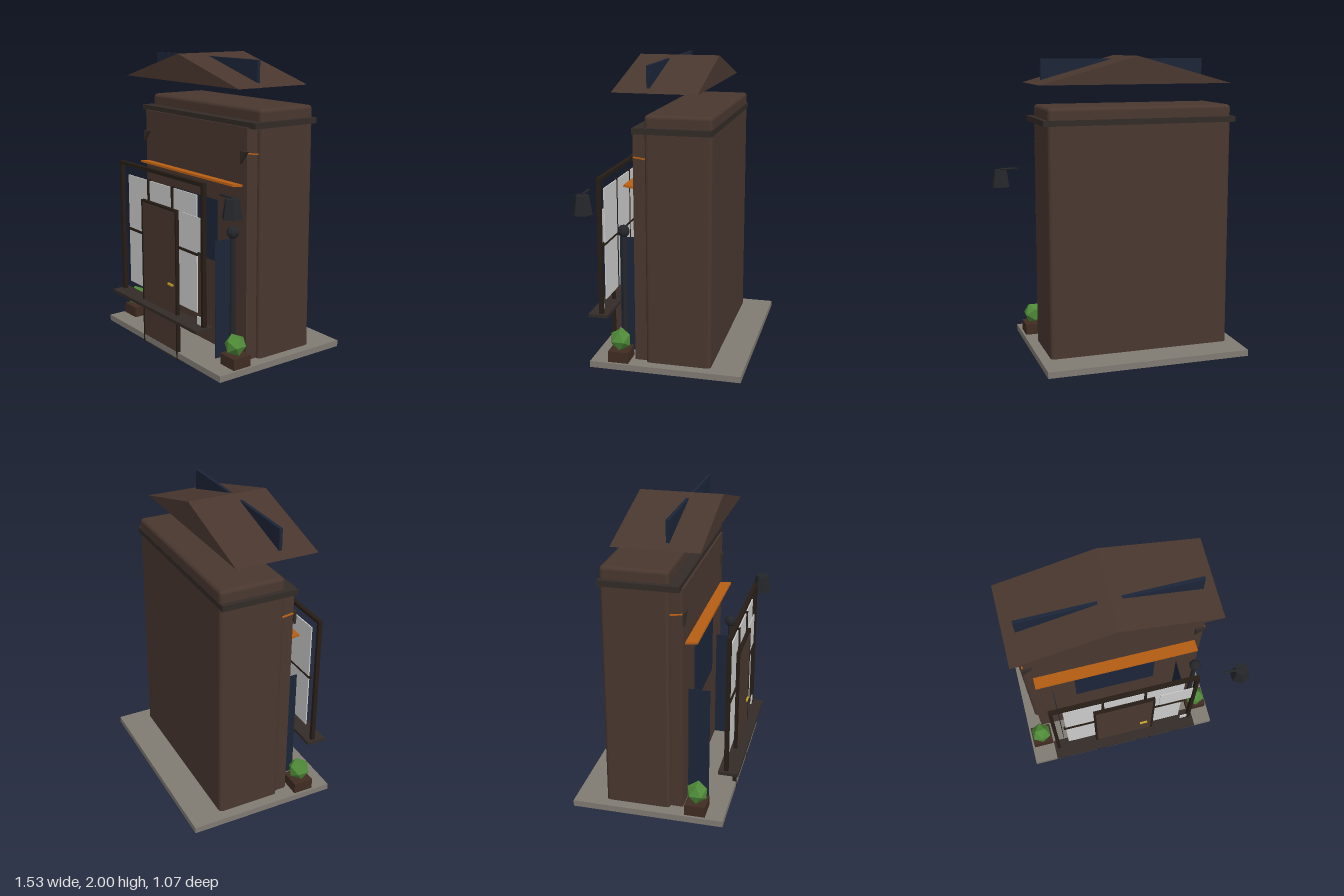
import * as THREE from 'three';
import { RoundedBoxGeometry } from 'three/addons/geometries/RoundedBoxGeometry.js';

const CX = -0.08; // the building's own centre line

function mat(color, flatShading = false) {
  return new THREE.MeshStandardMaterial({ color, flatShading, side: THREE.DoubleSide });
}

const M = {
  brown: mat(0x49372f), trim: mat(0x332b27), frame: mat(0x271d16), stone: mat(0x807a72),
  navy: mat(0x1c2538), glass: mat(0xcccccc), white: mat(0xf4f4f4), orange: mat(0xb85f14),
  gold: mat(0xc9a227), iron: mat(0x24262a, true), leaf: mat(0x4f8a38, true), planter: mat(0x402c22),
};

export function createModel() {
  const group = new THREE.Group();

  function add(name, geometry, material, x = 0, y = 0, z = 0) {
    const mesh = new THREE.Mesh(geometry, material);
    mesh.name = name;
    mesh.position.set(x, y, z);
    group.add(mesh);
    return mesh;
  }

  // box given by its limits on each axis
  function box(name, material, [x0, x1], [y0, y1], [z0, z1]) {
    return add(name, new THREE.BoxGeometry(x1 - x0, y1 - y0, z1 - z0), material,
      (x0 + x1) / 2, (y0 + y1) / 2, (z0 + z1) / 2);
  }

  // span of half width w about the centre line
  const span = (w) => [CX - w, CX + w];

  // pavement, main block, facade and cornice
  box('pavement', M.stone, span(0.686), [0.016, 0.058], [-0.53, 0.472]);
  add('body', new RoundedBoxGeometry(1.233, 1.68, 0.428, 3, 0.025), M.brown, CX, 0.845, -0.106);
  box('facade', M.brown, span(0.585), [0.03, 1.575], [0.09, 0.19]);
  box('cornice', M.trim, span(0.648), [1.57, 1.607], [-0.322, 0.178]);

  // gable roof
  const gable = new THREE.Shape();
  gable.moveTo(-0.648, 0);
  gable.lineTo(0.648, 0);
  gable.lineTo(0, 0.18);
  gable.closePath();
  add('roof', new THREE.ExtrudeGeometry(gable, { depth: 0.539, bevelEnabled: false }),
    M.brown, CX, 1.82, -0.235);
  box('roofSign', M.navy, span(0.57), [1.805, 1.98], [0.081, 0.102]);

  // window glass, glazing bars and surrounding frame
  box('windowGlass', M.glass, span(0.41), [0.39, 1.16], [0.442, 0.45]);
  box('glazingRail', M.frame, span(0.425), [0.772, 0.787], [0.44, 0.46]);
  for (const s of [-1, 1]) {
    const x = CX + s * 0.144;
    box('glazingBar', M.frame, [x - 0.008, x + 0.008], [0.39, 1.172], [0.44, 0.46]);
    const px = CX + s * 0.488;
    box('windowFramePost', M.frame, [px - 0.012, px + 0.012], [0.3, 1.248], [0.438, 0.466]);
  }
  box('windowFrameTop', M.frame, span(0.5), [1.225, 1.248], [0.438, 0.466]);
  box('windowSill', M.trim, span(0.518), [0.296, 0.317], [0.403, 0.535]);
  box('poster', M.glass, [0.168, 0.395], [0.8, 1.022], [0.45, 0.455]);
  box('notice', M.white, [0.345, 0.4], [0.322, 0.375], [0.455, 0.462]);

  // dark recess and side panels behind the glass
  box('innerPane', M.navy, [-0.36, 0.2], [0.65, 1.07], [0.188, 0.194]);
  for (const s of [-1, 1]) {
    const x = CX + s * 0.44;
    box('sidePanel', M.navy, [x - 0.002, x + 0.002], [0.058, 0.85], [0.188, 0.33]);
  }

  // door with its casing and handle
  box('door', M.brown, [-0.277, 0.117], [0.008, 1.012], [0.45, 0.47]);
  for (const x of [-0.284, 0.124]) {
    box('doorCasing', M.frame, [x - 0.007, x + 0.007], [0.004, 1.025], [0.448, 0.473]);
  }
  box('doorCasingTop', M.frame, [-0.291, 0.131], [1.011, 1.025], [0.448, 0.473]);
  box('doorHandle', M.gold, [0.034, 0.088], [0.506, 0.519], [0.468, 0.482]);

  // orange ledge over the window and the strip higher up
  const ledge = add('ledge', new THREE.BoxGeometry(1.085, 0.014, 0.085), M.orange, CX, 1.212, 0.226);
  ledge.rotation.x = -0.13;
  const strip = add('upperStrip', new THREE.BoxGeometry(1.19, 0.008, 0.085), M.orange, CX, 1.41, 0.145);
  strip.rotation.x = -0.13;

  // triangular brackets
  const wedge = new THREE.Shape();
  wedge.moveTo(0, 0);
  wedge.lineTo(0, -0.083);
  wedge.lineTo(0.07, 0);
  wedge.closePath();
  for (const x of [-0.68, 0.45]) {
    add('bracket', new THREE.ExtrudeGeometry(wedge, { depth: 0.016, bevelEnabled: false }),
      M.trim, x, 1.428, 0.188);
  }

  // planters with clipped bushes
  for (const s of [-1, 1]) {
    const x = CX + s * 0.598;
    box('planter', M.planter, [x - 0.072, x + 0.072], [0.058, 0.132], [0.217, 0.352]);
    add('bush', new THREE.IcosahedronGeometry(0.074, 0), M.leaf, x, 0.195, 0.286);
  }

  // lamp post
  add('lampPost', new THREE.CylinderGeometry(0.016, 0.02, 0.85, 8), M.iron, 0.467, 0.483, 0.27);
  add('lampBall', new THREE.SphereGeometry(0.041, 8, 6), M.iron, 0.467, 0.922, 0.27);

  // hanging lantern on its arm
  const arm = add('lanternArm', new THREE.CylinderGeometry(0.008, 0.008, 0.118, 6), M.iron, 0.645, 1.21, 0.455);
  arm.rotation.z = Math.PI / 2;
  add('lantern', new THREE.CylinderGeometry(0.045, 0.066, 0.12, 6), M.iron, 0.706, 1.145, 0.455);

  return group;
}
